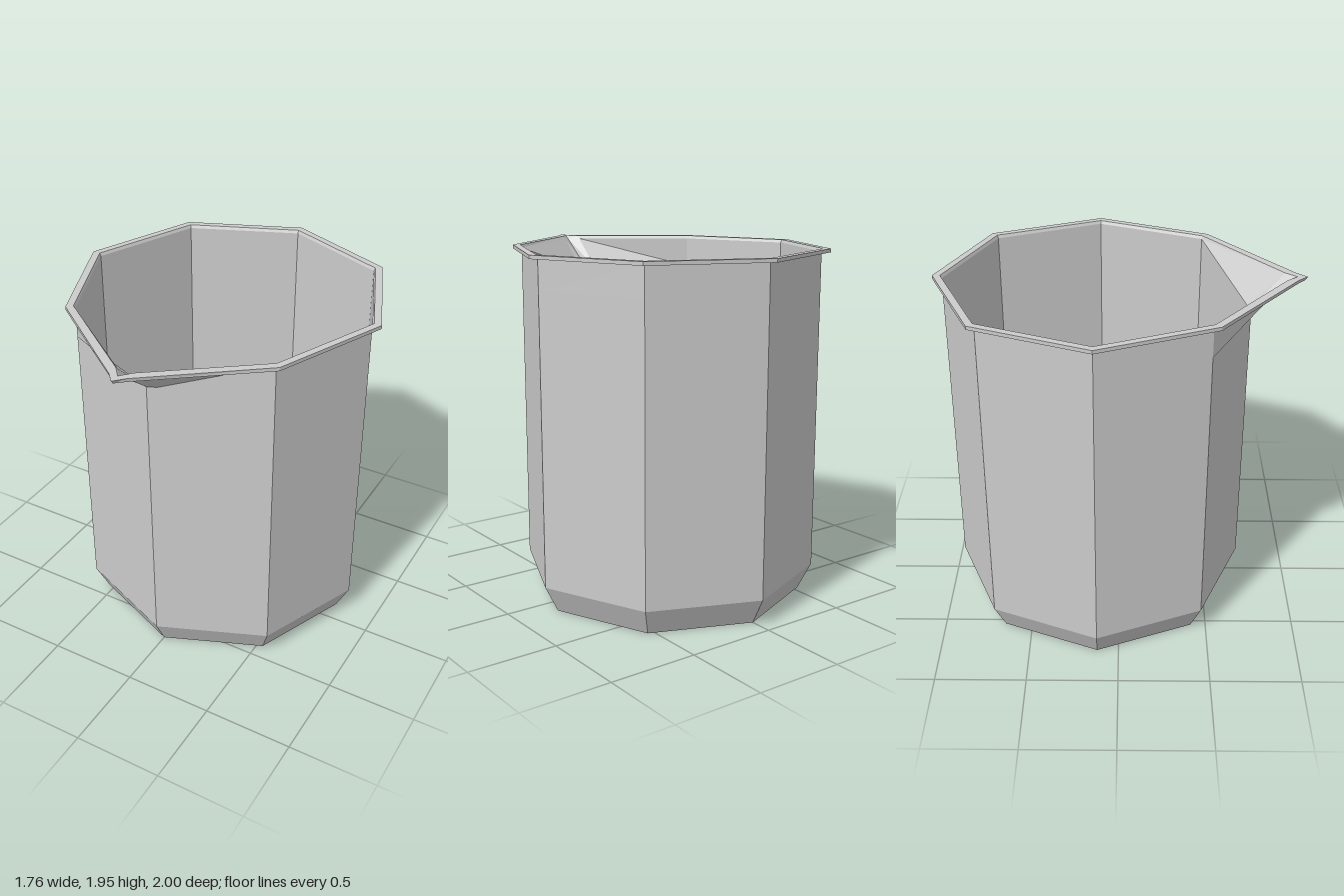
import * as THREE from 'three';

const CZ = -0.12; // the vessel's axis sits behind centre because of the spout
const SPLIT = 0.05; // half width of the crease strip at the spout

// Octagonal ring, split either side of the front corner; the front corner
// (tip) and its two neighbours (shoulder) can be pulled forward for the spout.
function ring(r, y, tip, shoulder) {
  const corner = (i) => [r * Math.sin(i * Math.PI / 4), r * Math.cos(i * Math.PI / 4) + CZ];
  const front = tip ?? r + CZ;
  const [x1, z1] = corner(1);
  const side = shoulder ?? front + (z1 - front) * SPLIT / x1;
  const plan = [[0, front], [SPLIT, side]];
  for (let i = 1; i < 8; i++) plan.push(corner(i));
  plan.push([-SPLIT, side]);
  return plan.map(([x, z]) => new THREE.Vector3(x, y, z));
}

// Faceted skin through a list of rings
function loft(rings) {
  const points = [];
  for (let k = 0; k < rings.length - 1; k++) {
    const lo = rings[k], hi = rings[k + 1];
    lo.forEach((a, i) => {
      const j = (i + 1) % lo.length;
      points.push(a, lo[j], hi[j], a, hi[j], hi[i]);
    });
  }
  const geometry = new THREE.BufferGeometry().setFromPoints(points);
  geometry.computeVertexNormals();
  return geometry;
}

export function createModel() {
  const group = new THREE.Group();
  const material = new THREE.MeshStandardMaterial({
    color: 0xcccccc, flatShading: true, side: THREE.DoubleSide,
  });
  const add = (name, geometry) => {
    const mesh = new THREE.Mesh(geometry, material);
    mesh.name = name;
    group.add(mesh);
    return mesh;
  };

  // Bevelled foot and straight walls
  add('body', loft([ring(0.755, 0), ring(0.83, 0.15), ring(0.83, 1.76)]));

  // Top of the wall, drawn forward into the pouring spout
  const wallTop = () => ring(0.83, 1.928, 0.92, 0.868);
  add('spoutWall', loft([ring(0.83, 1.76), wallTop()]));

  // Thin flat lip: underside, outer edge, top face and inner edge
  add('rim', loft([
    wallTop(),
    ring(0.88, 1.925, 0.985, 0.94),
    ring(0.88, 1.945, 1.0, 0.945),
    ring(0.838, 1.945, 0.945, 0.885),
    wallTop(),
  ]));

  // Flat base
  const base = add('base', new THREE.CircleGeometry(0.755, 8));
  base.rotation.x = Math.PI / 2;
  base.position.z = CZ;

  return group;
}
